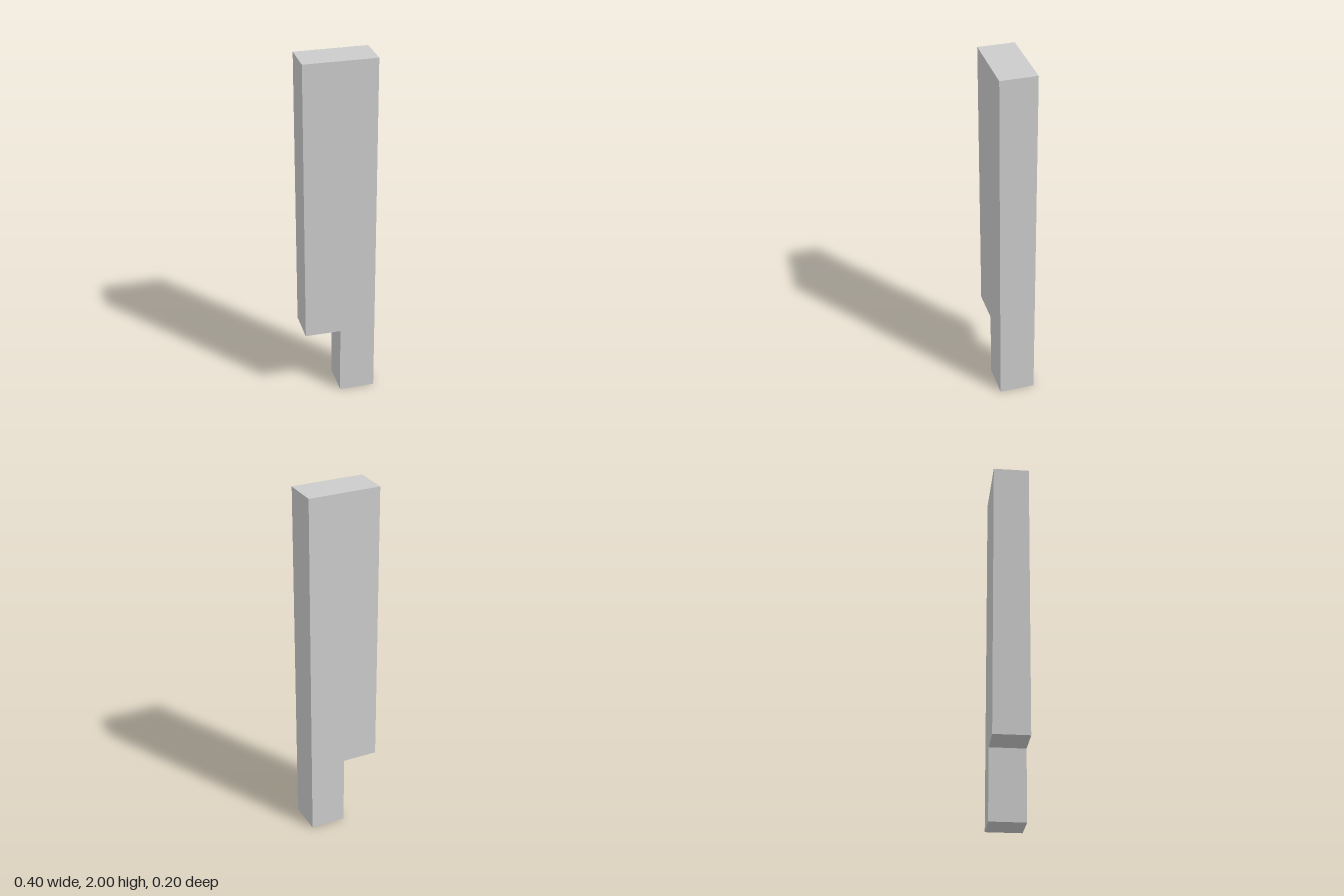
import * as THREE from 'three';

export function createModel() {
  const group = new THREE.Group();
  group.name = 'notchedPost';

  // Post outline with a rectangular notch cut from one lower corner
  const outline = new THREE.Shape([
    [0, 0], [0.2, 0], [0.2, 2], [-0.2, 2], [-0.2, 0.4], [0, 0.4],
  ].map(([x, y]) => new THREE.Vector2(x, y)));

  const depth = 0.2;
  const geometry = new THREE.ExtrudeGeometry(outline, { depth, bevelEnabled: false });
  geometry.translate(0, 0, -depth / 2);

  const post = new THREE.Mesh(
    geometry,
    new THREE.MeshStandardMaterial({ color: 0xcccccc, flatShading: true }),
  );
  post.name = 'post';
  group.add(post);
  return group;
}
